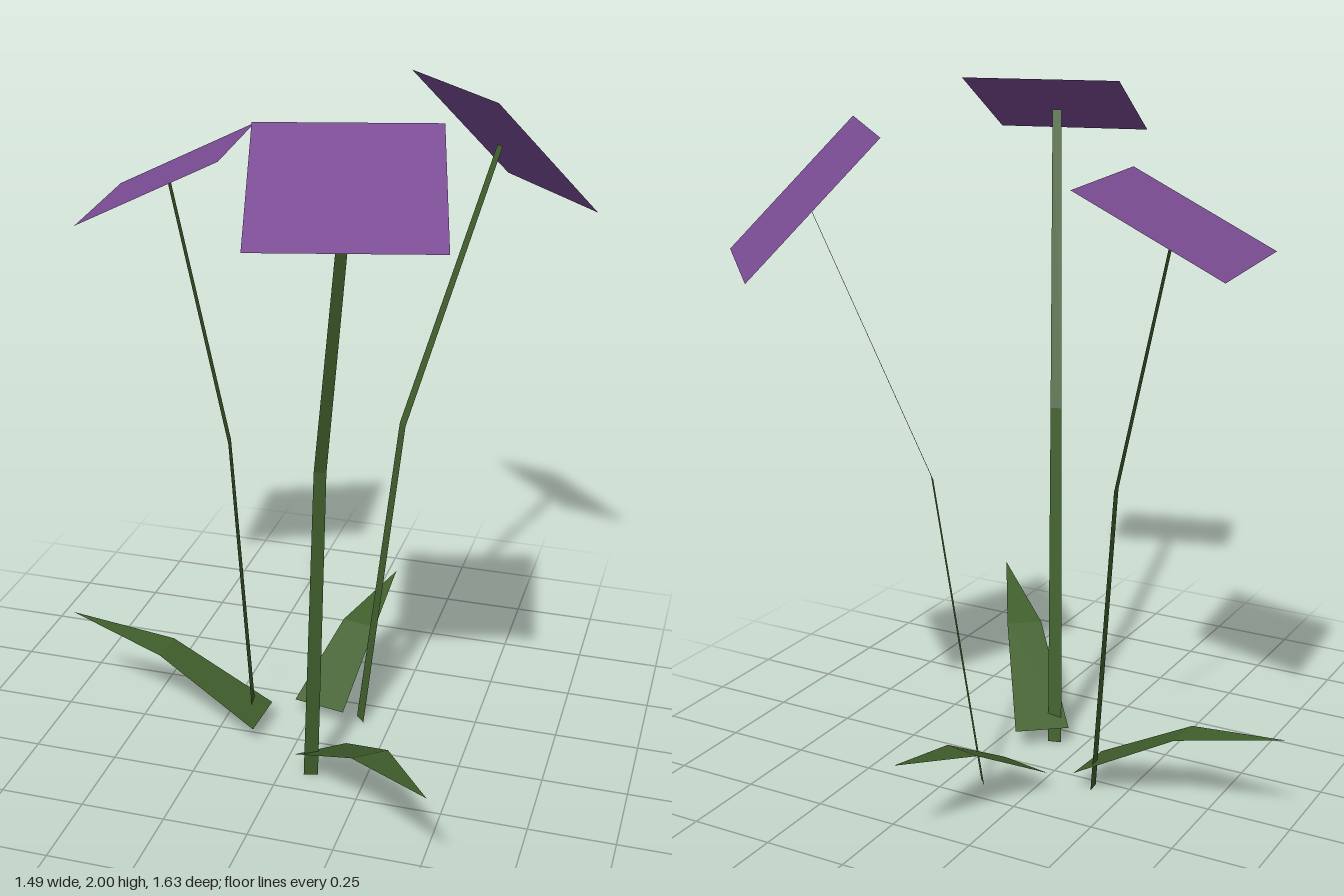
import * as THREE from 'three';

const bloomPurple = new THREE.MeshStandardMaterial({ name: 'bloomPurple', color: 0x7b4d95, side: THREE.DoubleSide, flatShading: true });
const leafGreen = new THREE.MeshStandardMaterial({ name: 'leafGreen', color: 0x41602d, side: THREE.DoubleSide, flatShading: true });

// Flat ribbon: a row of centres, each spread by its half width along a horizontal direction.
function ribbon(name, material, centres, halfWidths, [ax, az]) {
  const across = new THREE.Vector3(ax, 0, az).normalize();
  const rows = centres.map((c, i) => [-1, 1].map((side) =>
    new THREE.Vector3(...c).addScaledVector(across, side * halfWidths[i])));
  const points = [];
  for (let i = 0; i < rows.length - 1; i++) {
    const [a, b] = rows[i], [d, c] = rows[i + 1];
    points.push(a, b, c);
    if (halfWidths[i + 1] > 0) points.push(a, c, d); // a pointed tip needs one triangle
  }
  const geometry = new THREE.BufferGeometry().setFromPoints(points);
  geometry.computeVertexNormals();
  const mesh = new THREE.Mesh(geometry, material);
  mesh.name = name;
  return mesh;
}

const plants = [
  { // front plant
    name: 'frontFlower',
    across: [0.966, -0.258],
    stem: [[0.09, 0, 0.168], [0.145, 1.04, 0.28], [0.28, 1.89, 0.538]],
    bloom: [[0.335, 1.81, 0.755], [0.225, 2, 0.33]], bloomWidth: 0.466,
    leafAcross: [0.79, -0.61],
    leaf: [[0.105, 0.06, 0.115], [0.325, 0.265, 0.4], [0.545, 0.345, 0.67]],
  },
  { // back plant
    name: 'backFlower',
    across: [0.675, 0.738],
    stem: [[0.153, 0, -0.165], [0.24, 0.965, -0.27], [0.447, 1.755, -0.515]],
    bloom: [[0.582, 1.595, -0.643], [0.328, 1.94, -0.41]], bloomWidth: 0.474,
    leafAcross: [0.983, 0.184],
    leaf: [[0.035, 0.06, -0.11], [0.09, 0.215, -0.38], [0.145, 0.275, -0.645]],
  },
  { // side plant
    name: 'sideFlower',
    across: [0.09, 0.996],
    stem: [[-0.15, 0, -0.04], [-0.225, 0.94, -0.06], [-0.41, 1.695, -0.112]],
    bloom: [[-0.62, 1.61, -0.1], [-0.215, 1.81, -0.135]], bloomWidth: 0.442,
    leafAcross: [0.06, -0.998],
    leaf: [[-0.115, 0.06, -0.008], [-0.43, 0.237, -0.03], [-0.745, 0.298, -0.05]],
  },
];

export function createModel() {
  const model = new THREE.Group();
  model.name = 'flowers';
  for (const p of plants) {
    const plant = new THREE.Group();
    plant.name = p.name;
    const half = p.bloomWidth / 2;
    plant.add(
      ribbon('stem', leafGreen, p.stem, [0.021, 0.017, 0.014], p.across),
      ribbon('bloom', bloomPurple, p.bloom, [half, half], p.across),
      ribbon('leaf', leafGreen, p.leaf, [0.082, 0.055, 0], p.leafAcross),
    );
    model.add(plant);
  }
  return model;
}
